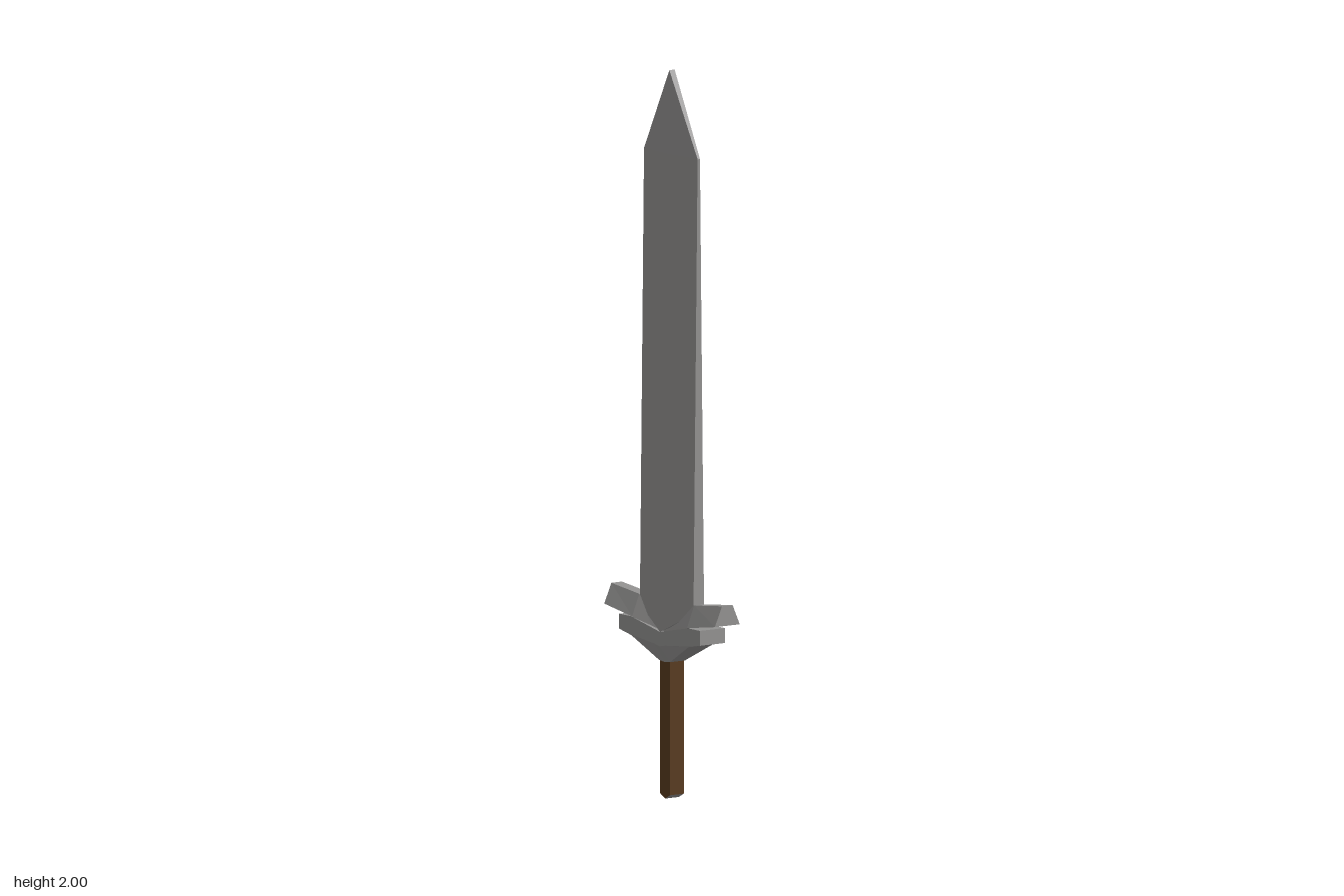
import * as THREE from 'three';

const steel = new THREE.MeshStandardMaterial({ color: 0x929190, flatShading: true });
steel.name = 'steel';
const wood = new THREE.MeshStandardMaterial({ color: 0x573a1e, flatShading: true });
wood.name = 'wood';

// Joins equal-length rings (counter-clockwise about the run direction) and caps both ends.
// Group 0 holds the sides, group 1 the caps.
function loft(rings) {
  const pos = [];
  const tri = (a, b, c) => pos.push(...a, ...b, ...c);
  const n = rings[0].length;
  for (let r = 0; r < rings.length - 1; r++) {
    for (let i = 0; i < n; i++) {
      const j = (i + 1) % n;
      const [a, b, c, d] = [rings[r][i], rings[r][j], rings[r + 1][j], rings[r + 1][i]];
      tri(a, b, c);
      tri(a, c, d);
    }
  }
  const sides = pos.length / 3;
  const first = rings[0], last = rings[rings.length - 1];
  for (let i = 1; i < n - 1; i++) {
    tri(first[0], first[i + 1], first[i]);
    tri(last[0], last[i], last[i + 1]);
  }
  const geo = new THREE.BufferGeometry();
  geo.setAttribute('position', new THREE.Float32BufferAttribute(pos, 3));
  geo.addGroup(0, sides, 0);
  geo.addGroup(sides, pos.length / 3 - sides, 1);
  geo.computeVertexNormals();
  return geo;
}

// Repeats half-sections (z from 0 outwards) on both sides, ordered from -z to +z.
function mirrored(halves, section) {
  const back = halves.slice(1).reverse().map(([z, ...r]) => section(-z, ...r));
  return [...back, ...halves.map((h) => section(...h))];
}

export function createModel() {
  const model = new THREE.Group();
  model.name = 'sword';
  const add = (name, geo, mat) => {
    const mesh = new THREE.Mesh(geo, mat);
    mesh.name = name;
    model.add(mesh);
    return mesh;
  };

  // Blade: six-sided section with a centre ridge and blunt edges, tapering to the tip
  const bladeRing = (edgeY, ridgeY, edgeX, ridgeX, z) => [
    [edgeX, edgeY, z], [ridgeX, ridgeY, 0], [edgeX, edgeY, -z],
    [-edgeX, edgeY, -z], [-ridgeX, ridgeY, 0], [-edgeX, edgeY, z],
  ];
  add('blade', loft([
    bladeRing(0.52, 0.46, 0.018, 0.041, 0.122),
    bladeRing(1.77, 1.77, 0.004, 0.014, 0.122),
    bladeRing(2.0, 2.0, 0.009, 0.009, 0),
  ]), steel);

  // Upper guard: bevelled bar swept into a V
  add('upperGuard', loft(mirrored(
    [[0, 0.42, 0.485], [0.125, 0.486, 0.546], [0.252, 0.505, 0.56]],
    (z, low, top) => [[-0.042, low, z], [0.042, low, z], [0.018, top, z], [-0.018, top, z]],
  )), steel);

  // Lower guard: shorter bar whose underside narrows to the grip
  add('lowerGuard', loft(mirrored(
    [[0, 0.375, 0.42, 0.46, 0.024], [0.025, 0.378, 0.425, 0.465, 0.025],
      [0.13, 0.434, 0.436, 0.486, 0.041], [0.184, 0.445, 0.446, 0.486, 0.042]],
    (z, low, mid, top, x) => [[-x, low, z], [x, low, z], [0.042, mid, z],
      [0.042, top, z], [-0.042, top, z], [-0.042, mid, z]],
  )), steel);

  // Grip
  const grip = add('grip', new THREE.BoxGeometry(0.046, 0.388, 0.046), wood);
  grip.position.y = 0.206;

  // Wedge-shaped butt with steel underside and wooden ends
  const wedge = (x) => [[x, 0, 0], [x, 0.012, -0.023], [x, 0.012, 0.023]];
  add('butt', loft([wedge(-0.023), wedge(0.023)]), [steel, wood]);

  return model;
}
